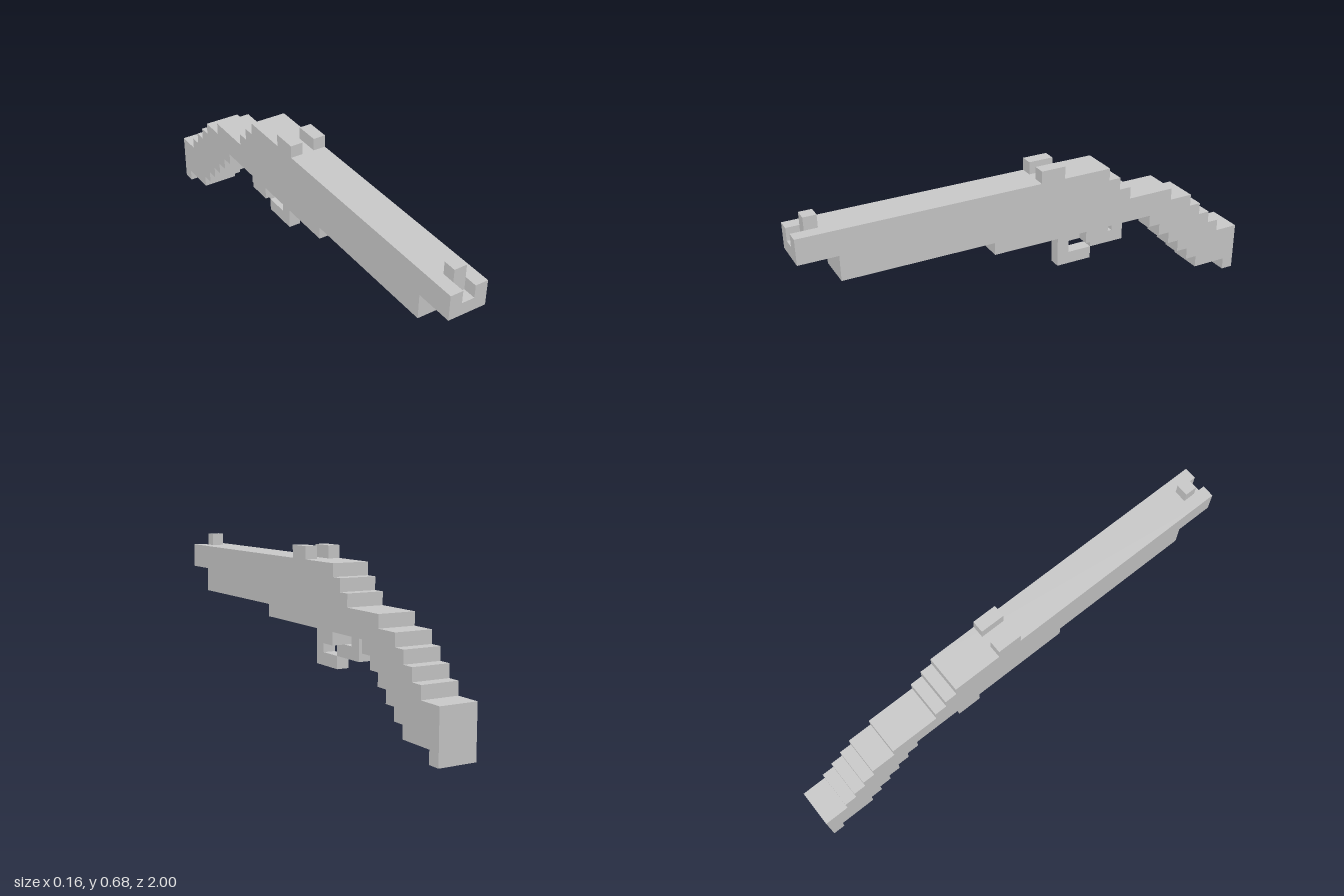
import * as THREE from 'three';

const U = 2 / 38; // one grid cell; every dimension below is in cells

export function createModel() {
  const model = new THREE.Group();
  const material = new THREE.MeshStandardMaterial({ color: 0xcccccc, flatShading: true });

  const add = (name, geometry) => {
    const mesh = new THREE.Mesh(geometry, material);
    mesh.name = name;
    model.add(mesh);
  };

  // Side profile in [z, y], extruded across the width and centred on x = 0
  const profile = (name, points, width) => {
    const shape = new THREE.Shape(points.map(([z, y]) => new THREE.Vector2(z, y)));
    const geometry = new THREE.ExtrudeGeometry(shape, { depth: width, bevelEnabled: false });
    geometry.translate(0, 0, -width / 2).rotateY(-Math.PI / 2).scale(U, U, U);
    add(name, geometry);
  };

  // Block given by its low and high corners
  const block = (name, [x0, y0, z0], [x1, y1, z1]) => {
    const geometry = new THREE.BoxGeometry(x1 - x0, y1 - y0, z1 - z0);
    geometry.translate((x0 + x1) / 2, (y0 + y1) / 2, (z0 + z1) / 2).scale(U, U, U);
    add(name, geometry);
  };

  // Barrel, receiver and stepped grip as one stair-edged outline
  profile('barrelAndGrip', [
    // underside, muzzle to butt
    [18, 10], [16, 10], [16, 8], [4, 8], [4, 7],
    [-4, 7], [-4, 6], [-6, 6], [-6, 7],
    [-10, 7], [-10, 6], [-11, 6], [-11, 5], [-12, 5], [-12, 4],
    [-13, 4], [-13, 3], [-14, 3], [-14, 2], [-15, 2], [-15, 1],
    [-18, 1], [-18, 0], [-19, 0],
    // top side, butt to muzzle
    [-19, 4], [-17, 4], [-17, 5], [-16, 5], [-16, 6], [-15, 6], [-15, 7],
    [-14, 7], [-14, 8], [-12, 8], [-12, 9], [-8, 9], [-8, 10],
    [-7, 10], [-7, 11], [-6, 11], [-6, 12], [18, 12],
  ], 3);

  // Muzzle with an open notch in its top
  block('muzzleBase', [-1.5, 10, 18], [1.5, 11, 19]);
  for (const [side, x] of [['right', -1.5], ['left', 0.5]]) {
    block(side + 'MuzzleCheek', [x, 11, 18], [x + 1, 12, 19]);
    block(side + 'RearSight', [x, 12, -2], [x + 1, 13, 0]);
  }
  block('frontSight', [-0.5, 12, 17], [0.5, 13, 18]);

  // Thin trigger guard hanging under the receiver
  profile('triggerGuard', [
    [-2, 7], [-2, 4], [-5, 4], [-5, 5], [-8, 5], [-8, 7],
    [-7, 7], [-7, 6], [-5, 6], [-5, 5], [-3, 5], [-3, 6], [-4, 6], [-4, 7],
  ].map(([z, y]) => [z, y]), 1);

  return model;
}
